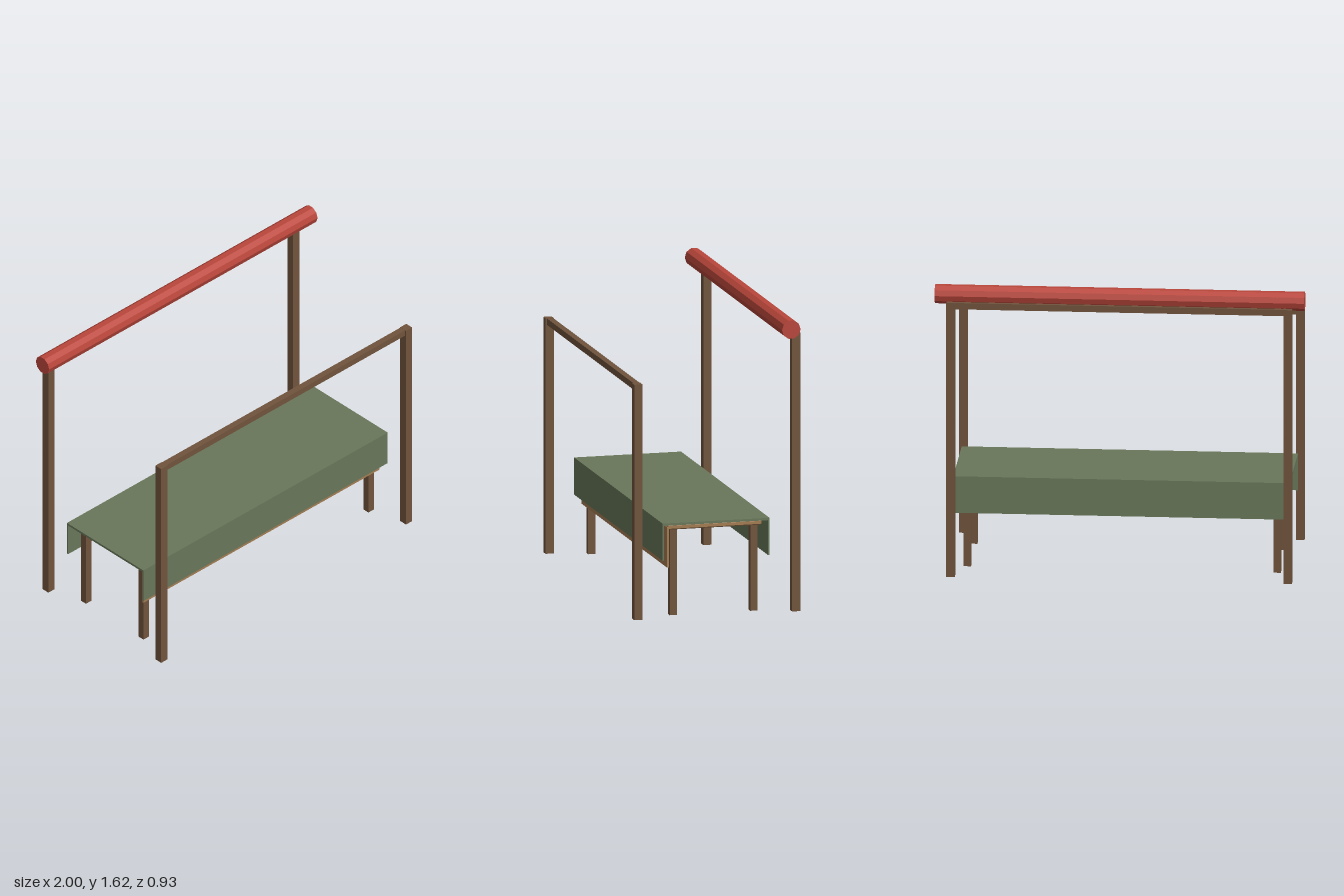
import * as THREE from 'three';

export function createModel() {
  const group = new THREE.Group();
  const mat = (name, color) => {
    const m = new THREE.MeshStandardMaterial({ color, flatShading: true });
    m.name = name;
    return m;
  };
  const darkWood = mat('dark wood', 0x70543c);
  const lightWood = mat('light wood', 0xa47c53);
  const cloth = mat('green cloth', 0x69775a);
  const red = mat('red canvas', 0xb9463b);

  const add = (name, geometry, material, x, y, z) => {
    const mesh = new THREE.Mesh(geometry, material);
    mesh.name = name;
    mesh.position.set(x, y, z);
    group.add(mesh);
    return mesh;
  };
  const box = (name, material, w, h, d, x, y, z) =>
    add(name, new THREE.BoxGeometry(w, h, d), material, x, y, z);

  // Front and back frames: two posts and a top rail each
  for (const [label, side, height] of [['front', 1, 1.297], ['back', -1, 1.534]]) {
    for (const sx of [-1, 1]) {
      box(`${label}Post`, darkWood, 0.046, height, 0.046, sx * 0.912, height / 2, side * 0.441);
    }
    box(`${label}Rail`, darkWood, 1.79, 0.035, 0.036, 0, height - 0.0185, side * 0.438);
  }

  // Table legs
  for (const sx of [-1, 1]) for (const sz of [-1, 1]) {
    box('tableLeg', darkWood, 0.04, 0.478, 0.04, sx * 0.838, 0.239, sz * 0.225);
  }

  // Table top with small chamfers on every edge
  const c = 0.006, hz = 0.263 - c, hy = 0.014 - c;
  const profile = new THREE.Shape([
    [-hz, -hy - c], [hz, -hy - c], [hz + c, -hy], [hz + c, hy],
    [hz, hy + c], [-hz, hy + c], [-hz - c, hy], [-hz - c, -hy],
  ].map(([a, b]) => new THREE.Vector2(a, b)));
  const slab = new THREE.ExtrudeGeometry(profile, {
    depth: 1.76 - 2 * c, bevelEnabled: true, bevelSegments: 1,
    bevelThickness: c, bevelSize: c, bevelOffset: -c,
  });
  slab.translate(0, 0, -0.88 + c).rotateY(Math.PI / 2);
  add('tableTop', slab, lightWood, 0, 0.489, 0);

  // Board hanging below the front edge
  box('frontBoard', lightWood, 1.76, 0.222, 0.011, 0, 0.379, 0.261);

  // Cloth lying on the table with a drop at front and back
  box('clothTop', cloth, 1.82, 0.013, 0.598, 0, 0.5115, 0);
  for (const sz of [-1, 1]) {
    box('clothDrop', cloth, 1.82, 0.195, 0.009, 0, 0.411, sz * 0.2945);
  }

  // Rolled awning resting on the back frame
  const roll = new THREE.CylinderGeometry(0.052, 0.052, 2, 10).rotateZ(Math.PI / 2);
  add('awningRoll', roll, red, 0, 1.567, -0.396);

  return group;
}
